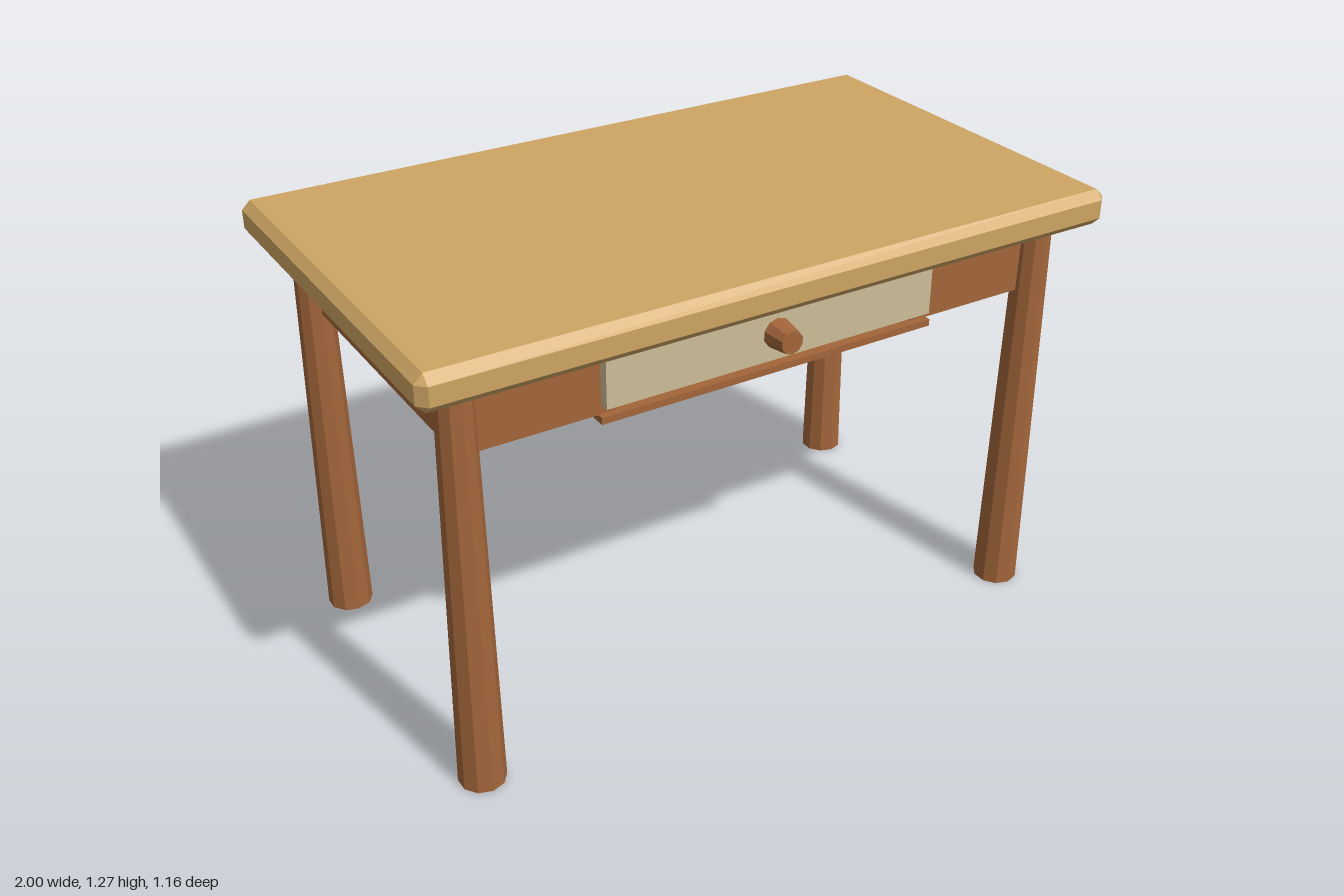
import * as THREE from 'three';
import { ConvexGeometry } from 'three/addons/geometries/ConvexGeometry.js';

const mat = (name, color, extra = {}) => {
  const m = new THREE.MeshStandardMaterial({ color, flatShading: true, ...extra });
  m.name = name;
  return m;
};

// Box with every edge cut by one flat chamfer
function chamferBox(w, h, d, c) {
  const pts = [];
  for (const sx of [-1, 1]) for (const sy of [-1, 1]) for (const sz of [-1, 1]) {
    const [x, y, z] = [sx * w / 2, sy * h / 2, sz * d / 2];
    pts.push(
      new THREE.Vector3(x, y - sy * c, z - sz * c),
      new THREE.Vector3(x - sx * c, y, z - sz * c),
      new THREE.Vector3(x - sx * c, y - sy * c, z)
    );
  }
  return new ConvexGeometry(pts);
}

export function createModel() {
  const model = new THREE.Group();
  model.name = 'table';
  const lightWood = mat('light wood', 0xcfa564);
  const redWood = mat('red brown wood', 0xa3663b);
  const paleWood = mat('pale wood', 0xcdbe98);

  const add = (name, geometry, material, x, y, z, parent = model) => {
    const mesh = new THREE.Mesh(geometry, material);
    mesh.name = name;
    mesh.position.set(x, y, z);
    parent.add(mesh);
    return mesh;
  };
  // Box given by its minimum and maximum on each axis
  const box = (name, material, x0, x1, y0, y1, z0, z1, parent) =>
    add(name, new THREE.BoxGeometry(x1 - x0, y1 - y0, z1 - z0), material,
      (x0 + x1) / 2, (y0 + y1) / 2, (z0 + z1) / 2, parent);

  // Table top
  add('tableTop', chamferBox(2, 0.1, 1.16, 0.024), lightWood, 0, 1.22, 0);

  // Tapered ten-sided legs
  const legGeometry = new THREE.CylinderGeometry(0.047, 0.064, 1.175, 10);
  for (const x of [-0.867, 0.867])
    for (const z of [-0.453, 0.453])
      add(`${z > 0 ? 'front' : 'back'}${x > 0 ? 'Left' : 'Right'}Leg`, legGeometry, redWood, x, 0.5875, z);

  // Aprons; the front one leaves an opening for the drawer
  box('backApron', redWood, -0.86, 0.86, 0.97, 1.175, -0.455, -0.41);
  box('rightApron', redWood, -0.867, -0.822, 0.97, 1.175, -0.45, 0.45);
  box('leftApron', redWood, 0.822, 0.867, 0.97, 1.175, -0.45, 0.45);
  box('frontApronRight', redWood, -0.86, -0.45, 0.97, 1.175, 0.41, 0.455);
  box('frontApronLeft', redWood, 0.45, 0.86, 0.97, 1.175, 0.41, 0.455);
  box('frontApronRail', redWood, -0.45, 0.45, 1.152, 1.175, 0.41, 0.455);

  // Board carrying the drawer
  box('drawerSupport', redWood, -0.5, 0.5, 0.953, 0.972, -0.41, 0.475);

  // Drawer
  const drawer = new THREE.Group();
  drawer.name = 'drawer';
  model.add(drawer);
  box('drawerFront', paleWood, -0.49, 0.49, 0.995, 1.14, 0.456, 0.482, drawer);
  box('drawerBottom', lightWood, -0.44, 0.44, 0.985, 1.0, -0.39, 0.455, drawer);
  box('drawerBack', lightWood, -0.44, 0.44, 1.0, 1.12, -0.39, -0.365, drawer);
  for (const s of [-1, 1])
    box(s > 0 ? 'drawerLeftSide' : 'drawerRightSide', lightWood,
      s * 0.428 - 0.012, s * 0.428 + 0.012, 0.985, 1.12, -0.39, 0.455, drawer);

  // Knob narrowing towards its face
  const knob = add('knob', new THREE.CylinderGeometry(0.032, 0.042, 0.068, 10), redWood, 0, 1.07, 0.514, drawer);
  knob.rotation.x = Math.PI / 2;

  return model;
}
